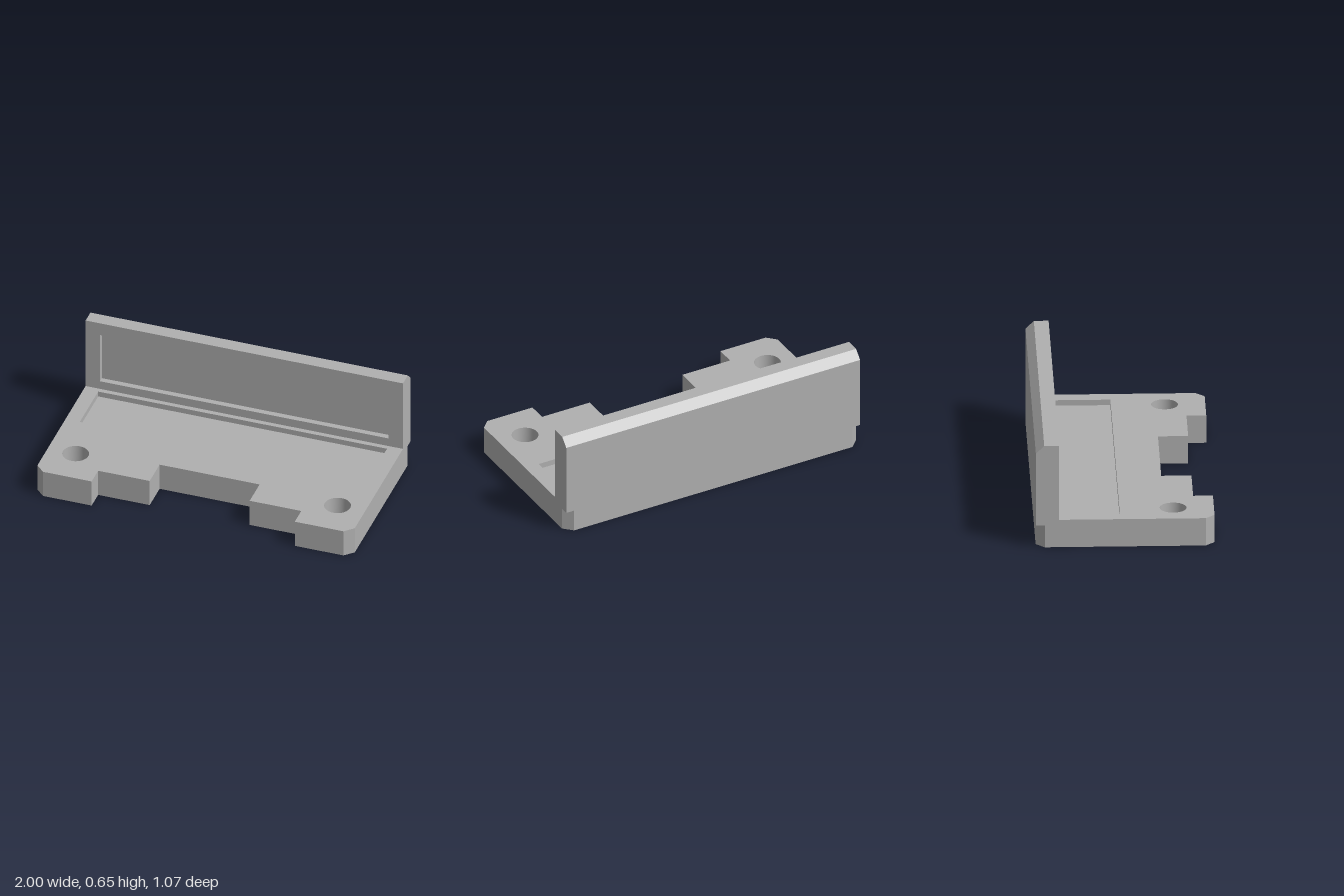
import * as THREE from 'three';
import { mergeGeometries, mergeVertices } from 'three/addons/utils/BufferGeometryUtils.js';

const v = (x, y) => new THREE.Vector2(x, y);
const rect = (x0, y0, x1, y1) => [v(x0, y0), v(x1, y0), v(x1, y1), v(x0, y1)];
const circle = (cx, cy, r, n = 48) => Array.from({ length: n }, (_, i) => {
  const a = (i / n) * Math.PI * 2;
  return v(cx + r * Math.cos(a), cy + r * Math.sin(a));
});
const reversed = (pts) => [...pts].reverse();

// Flat face with holes at local depth h, facing local +z, or -z when flipped
function face(pts, h, holes = [], flip = false) {
  const shape = new THREE.Shape(pts);
  shape.holes = holes.map((p) => new THREE.Path(p));
  const g = new THREE.ShapeGeometry(shape).toNonIndexed().translate(0, 0, h);
  g.deleteAttribute('uv');
  if (flip) {
    const p = g.attributes.position;
    const s = new THREE.Vector3(), t = new THREE.Vector3();
    for (let i = 0; i < p.count; i += 3) {
      s.fromBufferAttribute(p, i + 1);
      t.fromBufferAttribute(p, i + 2);
      p.setXYZ(i + 1, t.x, t.y, t.z);
      p.setXYZ(i + 2, s.x, s.y, s.z);
    }
    g.computeVertexNormals();
  }
  return g;
}

// Side walls along a path from depth a to b; counterclockwise paths face outward
function band(pts, a, b, { closed = true, smooth = false } = {}) {
  const pos = [];
  const count = closed ? pts.length : pts.length - 1;
  for (let i = 0; i < count; i++) {
    const p = pts[i], q = pts[(i + 1) % pts.length];
    pos.push(p.x, p.y, a, q.x, q.y, a, q.x, q.y, b, p.x, p.y, a, q.x, q.y, b, p.x, p.y, b);
  }
  let g = new THREE.BufferGeometry();
  g.setAttribute('position', new THREE.Float32BufferAttribute(pos, 3));
  if (smooth) g = mergeVertices(g);
  g.computeVertexNormals();
  return smooth ? g.toNonIndexed() : g;
}

export function createModel() {
  const grey = new THREE.MeshStandardMaterial({ color: 0xb0b0b0 });
  grey.name = 'plain grey';
  const group = new THREE.Group();
  const add = (name, parts) => {
    const mesh = new THREE.Mesh(mergeGeometries(parts), grey);
    mesh.name = name;
    group.add(mesh);
    return mesh;
  };

  const back = 0.533, wallFront = 0.395, chamfer = 0.053;
  const top = 0.175, ledge = 0.14, bore = 0.045, wallTop = 0.65;

  // Plan outlines use (x, -z): stepped front edge with clipped corners
  const half = [v(0.315, -0.235), v(0.315, -0.415), v(0.64, -0.415), v(0.64, -back),
    v(1 - chamfer, -back), v(1, -back + chamfer)];
  const front = [...reversed(half).map((p) => v(-p.x, p.y)), ...half];
  const lower = [...front, v(1, back - chamfer), v(1 - chamfer, back),
    v(-1 + chamfer, back), v(-1, back - chamfer)];
  const upper = [...front, v(1, back), v(-1, back)];
  const deck = [...front, v(1, wallFront), v(-1, wallFront)];
  const trayRim = rect(-0.91, 0.03, 0.91, 0.365);
  const holes = [-0.825, 0.825].map((x) => circle(x, -0.29, 0.08));
  const bores = [-0.825, 0.825].map((x) => circle(x, -0.29, 0.143));

  const plate = add('basePlate', [
    band(lower, 0, ledge),
    band(upper, ledge, top),
    face(lower, 0, bores, true),
    face(deck, top, [trayRim, ...holes]),
    // undersides of the overhanging back corners
    face([v(1, back - chamfer), v(1, back), v(1 - chamfer, back)], ledge, [], true),
    face([v(-1 + chamfer, back), v(-1, back), v(-1, back - chamfer)], ledge, [], true),
  ]);
  const tray = add('baseRecess', [
    band(reversed(trayRim), ledge, top),
    face(trayRim, ledge),
  ]);
  // Through holes with wider counterbores underneath
  const screwHoles = add('screwHoles', holes.flatMap((hole, i) => [
    band(reversed(hole), bore, top, { smooth: true }),
    band(reversed(bores[i]), 0, bore, { smooth: true }),
    face(bores[i], bore, [hole], true),
  ]));
  for (const mesh of [plate, tray, screwHoles]) mesh.geometry.rotateX(-Math.PI / 2);

  // Upright back wall: profile in (-z, y) swept across the width
  const profile = [v(back, top), v(back, wallTop - 0.05), v(back - 0.05, wallTop),
    v(wallFront, wallTop), v(wallFront, top)];
  add('backWall', [
    band(profile.slice(0, 4), -1, 1, { closed: false }),
    face(profile, 1),
    face(profile, -1, [], true),
  ]).geometry.rotateY(Math.PI / 2);

  // Wall front frame and its sunken panel
  const panelRim = rect(-0.91, 0.23, 0.91, 0.565);
  add('wallFrame', [face(rect(-1, top, 1, wallTop), -wallFront, [panelRim])]);
  add('wallRecess', [
    band(reversed(panelRim), -wallFront - 0.035, -wallFront),
    face(panelRim, -wallFront - 0.035),
  ]);

  return group;
}
